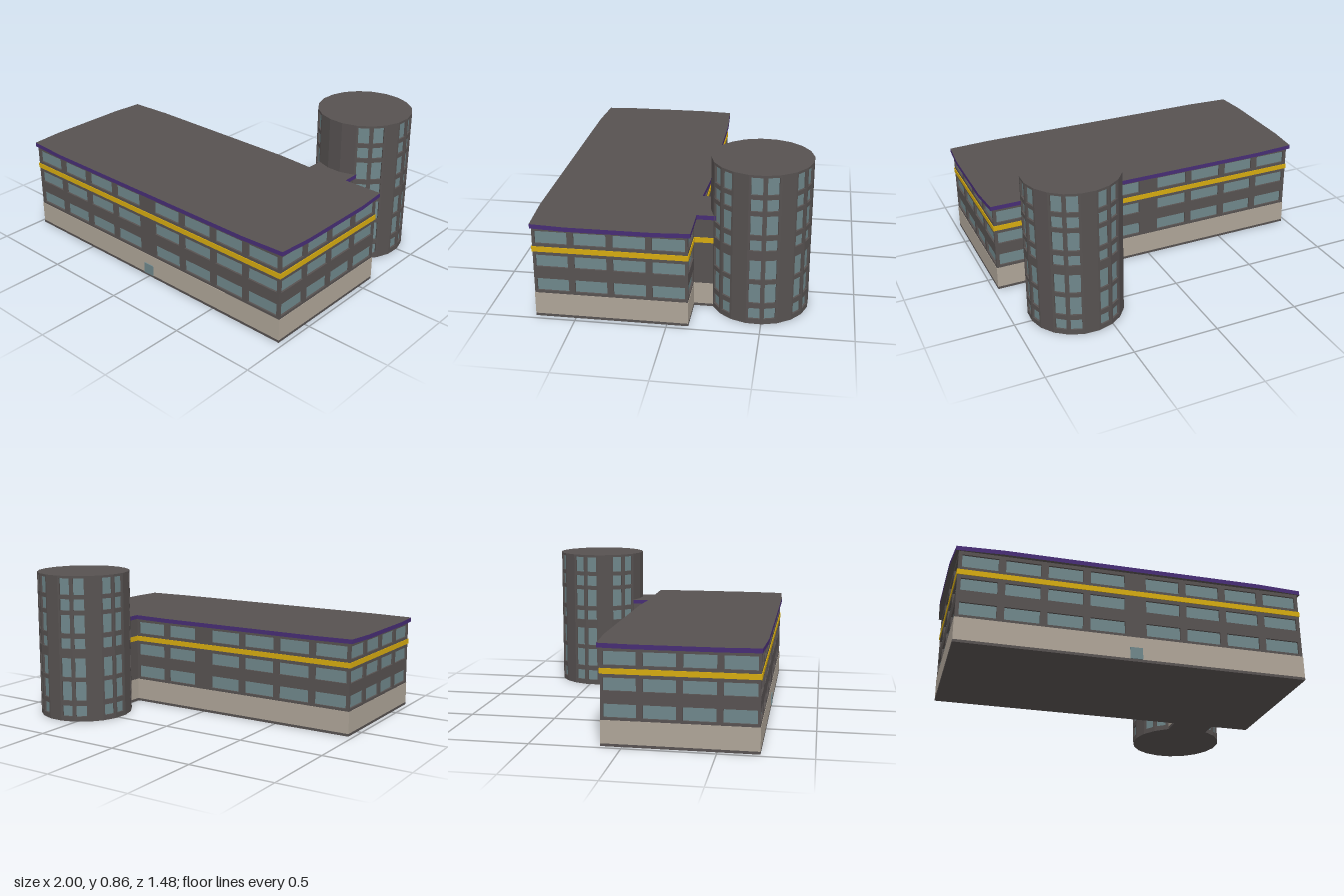
import * as THREE from 'three';

const mat = (color, side = THREE.FrontSide) => new THREE.MeshStandardMaterial({ color, side, flatShading: true });
const WALL = mat(0x575251), GLASS = mat(0x6f878b), BEIGE = mat(0xafa598);
const YELLOW = mat(0xd6ab10), PURPLE = mat(0x472d75);
const DEPTH = 0.012; // window recess
const TOP = 0.53;    // wall height of the main block

function add(parent, name, geometry, material) {
  const mesh = new THREE.Mesh(geometry, material);
  mesh.name = name;
  parent.add(mesh);
  return mesh;
}

// Upright wall centred on x with a grid of recessed windows, outer face at z = 0
function windowWall(name, x0, x1, height, columns, rows) {
  const wall = new THREE.Group();
  wall.name = name;
  const shape = new THREE.Shape([[x0, 0], [x1, 0], [x1, height], [x0, height]].map(p => new THREE.Vector2(...p)));
  for (const [a, b] of columns) {
    for (const [c, d] of rows) {
      shape.holes.push(new THREE.Path([[a, c], [a, d], [b, d], [b, c]].map(p => new THREE.Vector2(...p))));
    }
  }
  const frame = new THREE.ExtrudeGeometry(shape, { depth: DEPTH, bevelEnabled: false });
  add(wall, 'wallFrame', frame.translate(0, 0, -DEPTH), WALL);
  if (columns.length) {
    const glass = new THREE.PlaneGeometry(x1 - x0, height);
    add(wall, 'windowGlass', glass.translate((x0 + x1) / 2, height / 2, -DEPTH + 0.001), GLASS);
  }
  return wall;
}

// Flat slab from a plan outline of [x, z] points
function slab(parent, name, outline, y0, y1, material) {
  const shape = new THREE.Shape(outline.map(([x, z]) => new THREE.Vector2(x, -z)));
  const geometry = new THREE.ExtrudeGeometry(shape, { depth: y1 - y0, bevelEnabled: false });
  add(parent, name, geometry.rotateX(-Math.PI / 2).translate(0, y0, 0), material);
}

// Plan of the block and its link to the tower, grown outwards by g
const footprint = g => [
  [-0.97 - g, 0.72 + g], [0.97 + g, 0.72 + g], [0.97 + g, -0.115 - g], [0.74 + g, -0.115 - g],
  [0.74 + g, -0.232], [0.5 - g, -0.232], [0.5 - g, -0.115 - g], [-0.97 - g, -0.115 - g],
];

function mainBlock() {
  const block = new THREE.Group();
  block.name = 'mainBlock';
  const rows = [[0.157, 0.23], [0.3, 0.37], [0.437, 0.51]];
  const half = [[0.06, 0.252], [0.292, 0.485], [0.525, 0.715], [0.755, 0.95]];
  const mirrored = half.map(([a, b]) => [-b, -a]);

  // Long walls; the back has no windows where the link meets it
  const front = windowWall('frontWall', -0.97, 0.97, TOP, [...half, ...mirrored], rows);
  front.position.z = 0.72;
  const backColumns = [...half, ...mirrored.filter((c, i) => i !== 2)];
  const back = windowWall('backWall', -0.97, 0.97, TOP, backColumns, rows);
  back.rotation.y = Math.PI;
  back.position.z = -0.115;
  block.add(front, back);

  // End walls
  const mid = 0.3025, reach = 0.4175 - DEPTH;
  const ends = [0, 1, 2, 3].map(i => [-0.4025 + i * 0.21, -0.2275 + i * 0.21]);
  for (const side of [-1, 1]) {
    const end = windowWall(side > 0 ? 'leftWall' : 'rightWall', -reach, reach, TOP, ends, rows);
    end.rotation.y = side * Math.PI / 2;
    end.position.set(side * 0.97, 0, mid);
    block.add(end);
  }

  // Link to the tower
  const link = add(block, 'towerLink', new THREE.BoxGeometry(0.24, TOP, 0.13), WALL);
  link.position.set(0.62, TOP / 2, -0.167);

  // Horizontal bands
  slab(block, 'footing', footprint(0.002), 0, 0.015, WALL);
  slab(block, 'baseBand', footprint(0.002), 0.015, 0.142, BEIGE);
  slab(block, 'accentBand', footprint(0.004), 0.39, 0.42, YELLOW);

  // Entrance
  const door = add(block, 'door', new THREE.BoxGeometry(0.07, 0.065, 0.01), GLASS);
  door.position.set(0, 0.0475, 0.722);

  // Overhanging roof with slightly bowed edges
  const roof = [
    [-0.985, 0.725], [-0.73, 0.74], [0.73, 0.74], [0.985, 0.725], [1, 0.53], [1, 0.06], [0.985, -0.13],
    [0.75, -0.13], [0.75, -0.235], [0.49, -0.235], [0.49, -0.13], [0.26, -0.145], [-0.73, -0.145],
    [-0.985, -0.13], [-1, 0.06], [-1, 0.53],
  ];
  slab(block, 'roof', roof, TOP, 0.555, [WALL, PURPLE]);
  return block;
}

function roundTower() {
  const tower = new THREE.Group();
  tower.name = 'roundTower';
  tower.position.set(0.625, 0, -0.47);
  const sides = 20, radius = 0.275, height = 0.862, step = Math.PI * 2 / sides;
  const halfWidth = radius * Math.sin(step / 2), apothem = radius * Math.cos(step / 2);
  const rows = [[0.03, 0.095], [0.125, 0.24], [0.265, 0.38], [0.435, 0.497], [0.525, 0.635], [0.66, 0.727], [0.752, 0.848]];
  const start = 56 * Math.PI / 180;

  // Facets run in threes: two glazed, one blank; the last three face the block
  for (let i = 0; i < sides; i++) {
    const angle = start - i * step;
    const glazed = i < 17 && i % 3 !== 2;
    const facet = windowWall('towerFacet', -halfWidth, halfWidth, height, glazed ? [[-0.031, 0.031]] : [], rows);
    facet.rotation.y = Math.PI / 2 - angle;
    facet.position.set(apothem * Math.cos(angle), 0, apothem * Math.sin(angle));
    tower.add(facet);
  }

  // Roof and floor discs
  for (const [name, y] of [['towerFloor', 0.005], ['towerRoof', height - 0.005]]) {
    const disc = new THREE.CylinderGeometry(radius, radius, 0.01, sides, 1, false, 7 * Math.PI / 180);
    add(tower, name, disc, WALL).position.y = y;
  }
  return tower;
}

export function createModel() {
  const model = new THREE.Group();
  model.name = 'officeBuilding';
  model.add(mainBlock(), roundTower());
  return model;
}
